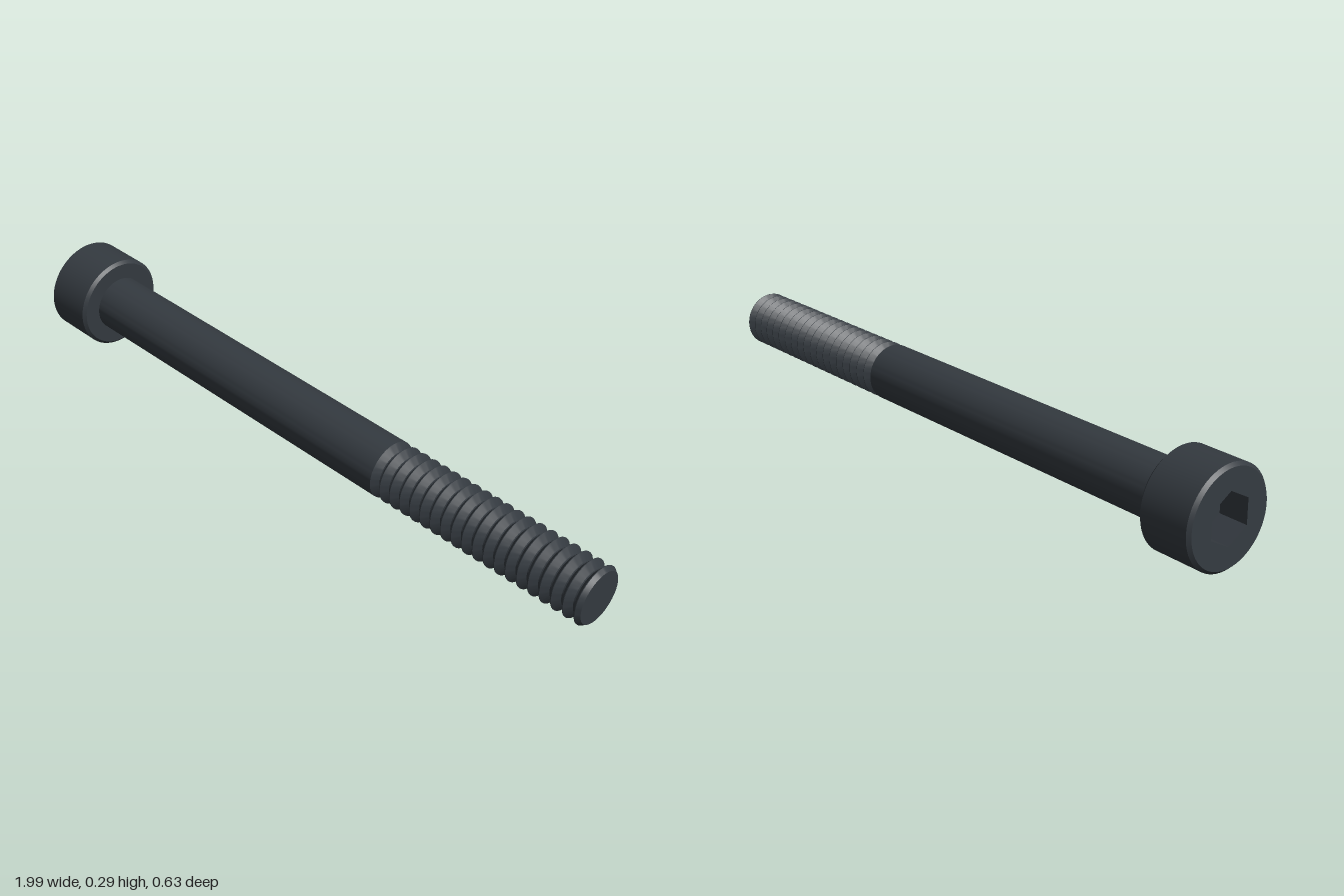
import * as THREE from 'three';
import { toCreasedNormals } from 'three/addons/utils/BufferGeometryUtils.js';

// Sizes along the bolt's own axis (local +x, head at 0)
const HEAD_R = 0.141, HEAD_LEN = 0.163, CHAMFER = 0.009;
const SHANK_R = 0.084, ROOT_R = 0.064, THREAD_START = 1.31, LENGTH = 1.995;
const SOCKET_R = 0.073, SOCKET_DEPTH = 0.085, TURNS = 19;

// Lathe a [radius, distance] profile about the local x axis
function turn(points, segments = 64, start = 0) {
  const g = new THREE.LatheGeometry(
    points.map(([r, d]) => new THREE.Vector2(r, d)), segments, start);
  g.rotateZ(-Math.PI / 2);
  return toCreasedNormals(g, 0.5);
}

export function createModel() {
  const steel = new THREE.MeshStandardMaterial({ color: 0x343a40 });
  steel.name = 'black steel';
  const bolt = new THREE.Group();
  bolt.name = 'socketHeadBolt';
  const add = (name, geometry) => {
    const mesh = new THREE.Mesh(geometry, steel);
    mesh.name = name;
    bolt.add(mesh);
  };

  // Cylindrical head with chamfered rims
  add('head', turn([
    [HEAD_R - CHAMFER, 0], [HEAD_R, CHAMFER], [HEAD_R, HEAD_LEN - CHAMFER],
    [HEAD_R - CHAMFER, HEAD_LEN], [SHANK_R, HEAD_LEN],
  ]));

  // Head face with a hexagonal opening
  const face = new THREE.Shape().absarc(0, 0, HEAD_R - CHAMFER, 0, Math.PI * 2);
  const hex = [];
  for (let i = 0; i < 6; i++) {
    const a = Math.PI / 2 + i * Math.PI / 3;
    hex.push(new THREE.Vector2(Math.cos(a) * SOCKET_R, Math.sin(a) * SOCKET_R));
  }
  face.holes.push(new THREE.Path(hex));
  add('headFace', new THREE.ShapeGeometry(face, 64).rotateY(-Math.PI / 2));

  // Hex socket: floor and inward-facing walls
  add('hexSocket', turn(
    [[0, SOCKET_DEPTH], [SOCKET_R, SOCKET_DEPTH], [SOCKET_R, 0]], 6, Math.PI / 2));

  // Plain shank
  add('shank', turn([[SHANK_R, HEAD_LEN], [SHANK_R, THREAD_START]]));

  // Threaded end: V grooves, then a chamfered flat tip
  const pitch = (LENGTH - THREAD_START - 0.012) / TURNS;
  const profile = [[SHANK_R, THREAD_START]];
  for (let i = 0; i < TURNS; i++) {
    const d = THREAD_START + i * pitch;
    profile.push([ROOT_R, d + pitch * 0.45], [ROOT_R, d + pitch * 0.55],
      [SHANK_R, d + pitch * 0.95], [SHANK_R, d + pitch]);
  }
  profile.push([SHANK_R - 0.009, LENGTH], [0, LENGTH]);
  add('thread', turn(profile));

  // Lay the bolt on the ground, resting on head and tip
  bolt.rotation.set(0, -Math.atan2(0.414, 1.948), -0.031, 'YZX');
  bolt.position.set(-0.971, 0.147, -0.179);

  const model = new THREE.Group();
  model.name = 'bolt';
  model.add(bolt);
  return model;
}
